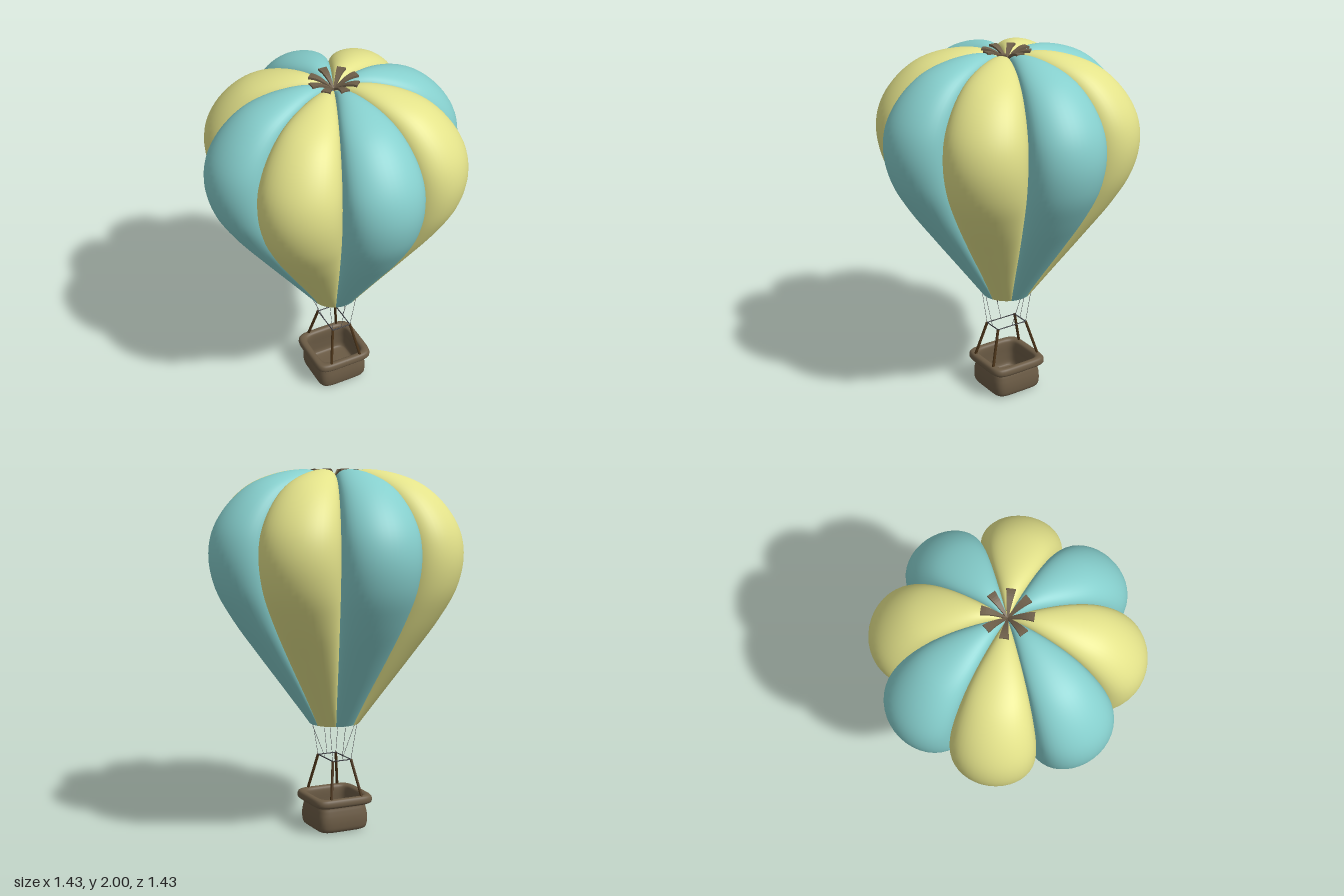
import * as THREE from 'three';

const mat = (color, side = THREE.FrontSide) => new THREE.MeshStandardMaterial({ color, side });

// Smooth surface from a grid of points: fn(u, v) with u running around, v along the profile
function gridGeometry(cols, rows, fn) {
  const pos = [], idx = [];
  for (let j = 0; j <= rows; j++)
    for (let i = 0; i <= cols; i++) pos.push(...fn(i / cols, j / rows));
  for (let j = 0; j < rows; j++)
    for (let i = 0; i < cols; i++) {
      const a = j * (cols + 1) + i, d = a + cols + 1;
      idx.push(a, a + 1, d + 1, a, d + 1, d);
    }
  const g = new THREE.BufferGeometry();
  g.setAttribute('position', new THREE.Float32BufferAttribute(pos, 3));
  g.setIndex(idx);
  g.computeVertexNormals();
  return g;
}

function rod(name, a, b, radius, material) {
  const p = new THREE.Vector3(...a), q = new THREE.Vector3(...b);
  const dir = q.clone().sub(p);
  const m = new THREE.Mesh(new THREE.CylinderGeometry(radius, radius, dir.length(), 8), material);
  m.position.copy(p).add(q).multiplyScalar(0.5);
  m.quaternion.setFromUnitVectors(new THREE.Vector3(0, 1, 0), dir.normalize());
  m.name = name;
  return m;
}

const spline = (pts) => new THREE.CatmullRomCurve3(pts.map(([r, y, s = 0]) => new THREE.Vector3(r, y, s)));

// Envelope levels: ridge radius, ridge height, seam radius, seam height
const LEVELS = [
  [0.14, 0.6, 0.14, 0.6], [0.29, 0.8, 0.24, 0.8], [0.44, 1.0, 0.345, 1.0],
  [0.585, 1.2, 0.435, 1.2], [0.68, 1.37, 0.5, 1.37], [0.715, 1.53, 0.53, 1.53],
  [0.695, 1.67, 0.52, 1.66], [0.62, 1.8, 0.46, 1.78], [0.5, 1.91, 0.37, 1.87],
  [0.36, 1.97, 0.26, 1.925], [0.2, 1.997, 0.14, 1.945], [0.1, 1.985, 0.06, 1.94],
  [0, 1.93, 0, 1.93],
];

function createEnvelope() {
  const group = new THREE.Group();
  group.name = 'envelope';
  const ridge = spline(LEVELS.map((l) => [l[0], l[1]]));
  const seam = spline(LEVELS.map((l) => [l[2], l[3]]));
  // One bulging gore, elliptical between its two seams
  const gore = gridGeometry(24, 60, (u, v) => {
    const t = (u - 0.5) * Math.PI;
    const p = seam.getPoint(v).lerp(ridge.getPoint(v), Math.cos(t));
    const angle = (Math.PI / 8) * Math.sin(t);
    return [p.x * Math.sin(angle), p.y, p.x * Math.cos(angle)];
  });
  const colours = [mat(0x86cfcd, THREE.DoubleSide), mat(0xe3e28a, THREE.DoubleSide)];
  for (let i = 0; i < 8; i++) {
    const m = new THREE.Mesh(gore, colours[i % 2]);
    m.rotation.y = (i * Math.PI) / 4;
    m.name = 'gore';
    group.add(m);
  }
  return group;
}

// Eight tapering straps that dip into the crown
function createCrown() {
  const group = new THREE.Group();
  group.name = 'crownStraps';
  const geo = new THREE.BoxGeometry(1, 0.012, 1, 10, 1, 1).toNonIndexed();
  const p = geo.attributes.position;
  for (let i = 0; i < p.count; i++) {
    const r = 0.13 * (p.getX(i) + 0.5);
    const y = 1.938 + 0.055 * Math.sin(Math.min(r / 0.12, 1) * Math.PI / 2);
    p.setXYZ(i, r, y + p.getY(i), p.getZ(i) * (0.006 + 0.32 * r));
  }
  geo.computeVertexNormals();
  const material = mat(0x6e5f4a);
  for (let i = 0; i < 8; i++) {
    const m = new THREE.Mesh(geo, material);
    m.rotation.y = (i * Math.PI) / 4;
    m.name = 'crownStrap';
    group.add(m);
  }
  return group;
}

// Hollow rounded-square basket with a rolled rim
function createBasket() {
  const profile = spline([
    [0, 0], [0.07, 0], [0.125, 0.002], [0.145, 0.015], [0.152, 0.05], [0.151, 0.09],
    [0.145, 0.125], [0.141, 0.147], [0.16, 0.15], [0.172, 0.16], [0.174, 0.178],
    [0.168, 0.194], [0.157, 0.2], [0.143, 0.199], [0.132, 0.19], [0.128, 0.165],
    [0.13, 0.1], [0.126, 0.04], [0.11, 0.03], [0, 0.03],
  ]);
  const n = 6;
  const geo = gridGeometry(72, 76, (u, v) => {
    const q = profile.getPoint(v);
    const s = Math.sin(u * 2 * Math.PI), c = Math.cos(u * 2 * Math.PI);
    const r = q.x / Math.pow(Math.abs(s) ** n + Math.abs(c) ** n, 1 / n);
    return [r * s, q.y, r * c];
  });
  const m = new THREE.Mesh(geo, mat(0x6b5b45, THREE.DoubleSide));
  m.name = 'basket';
  return m;
}

function createRigging() {
  const group = new THREE.Group();
  group.name = 'rigging';
  const wood = mat(0x4a3318), metal = mat(0x33333a), rope = mat(0x55555a);
  const X = 0.056, Z = 0.095, Y = 0.4;
  for (const s of [-1, 1]) {
    // Frame bars
    group.add(rod('frameBar', [s * X, Y, -Z], [s * X, Y, Z], 0.003, metal));
    group.add(rod('frameBar', [-X, Y, s * Z], [X, Y, s * Z], 0.003, metal));
    // Ropes to the middle of each side
    group.add(rod('rope', [s * X, Y, 0], [s * 0.14, 0.605, 0], 0.0012, rope));
    group.add(rod('rope', [0, Y, s * Z], [0, 0.605, s * 0.14], 0.0012, rope));
    // Corner uprights and corner ropes
    for (const t of [-1, 1]) {
      group.add(rod('upright', [s * 0.096, 0.18, t * 0.157], [s * X, Y, t * Z], 0.008, wood));
      group.add(rod('rope', [s * X, Y, t * Z], [s * 0.083, 0.605, t * 0.113], 0.0012, rope));
    }
  }
  return group;
}

export function createModel() {
  const model = new THREE.Group();
  model.name = 'hotAirBalloon';
  model.add(createEnvelope(), createCrown(), createBasket(), createRigging());
  return model;
}
